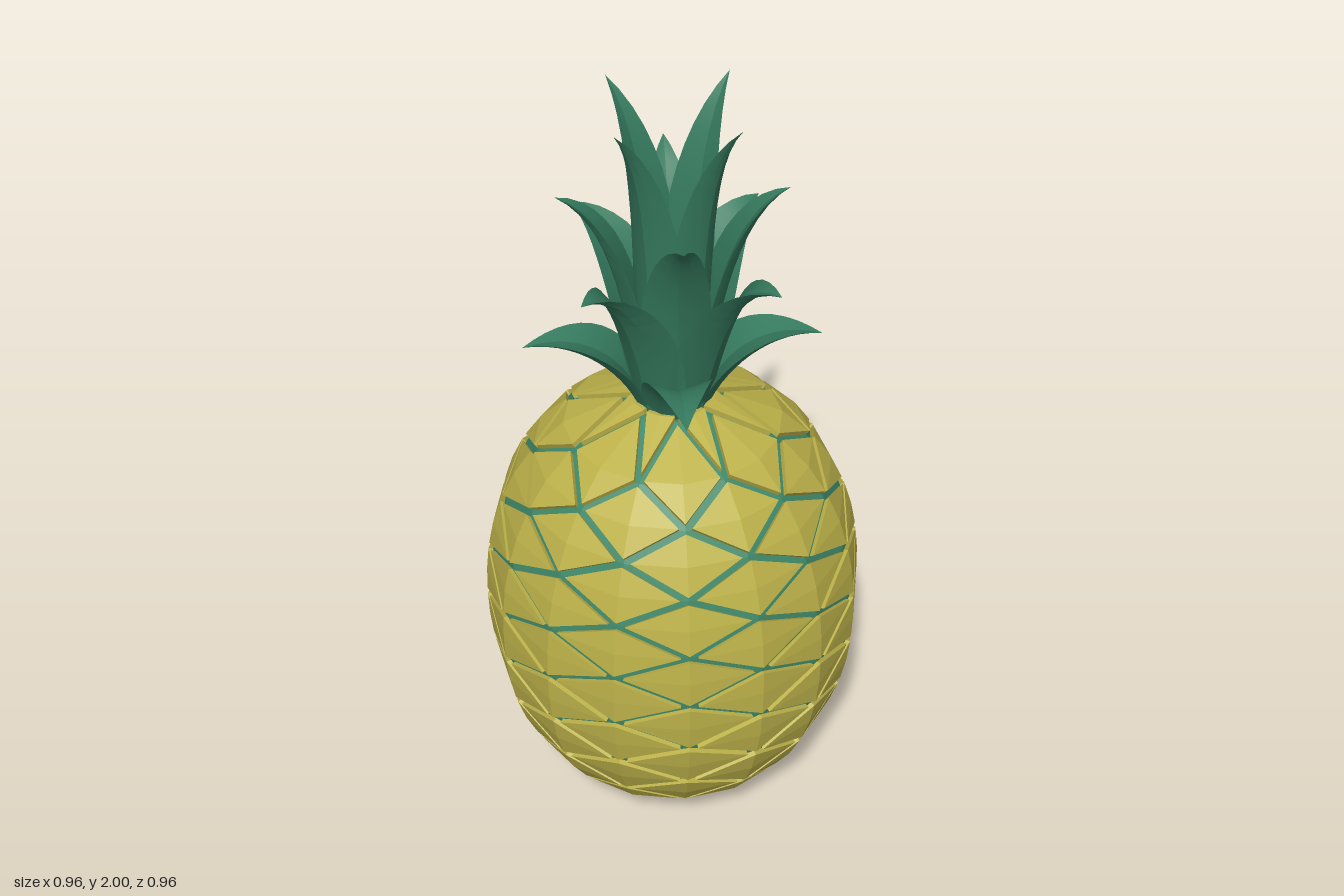
import * as THREE from 'three';
import { toCreasedNormals } from 'three/addons/utils/BufferGeometryUtils.js';

const STEP = 1.21 / 16;                       // half a row of the diamond lattice
const CENTRE = new THREE.Vector3(0, 0.605, 0);
const rind = new THREE.MeshStandardMaterial({ color: 0xbdb24a, flatShading: true });
const groove = new THREE.MeshStandardMaterial({ color: 0x3f8768, flatShading: true });
const leafGreen = new THREE.MeshStandardMaterial({ color: 0x357a5e, side: THREE.DoubleSide });

// Lattice point: level 0..16 up the fruit (-1 and 17 are the dimpled poles), column of 16
function lattice(level, column) {
  if (level < 0) return new THREE.Vector3(0, 0.02, 0);
  if (level > 16) return new THREE.Vector3(0, 1.2, 0);
  const y = level * STEP;
  const t = Math.abs(y - CENTRE.y) / 0.615;
  const r = 0.48 * Math.pow(1 - Math.pow(t, 2.2), 1 / 2.2);
  const a = column * Math.PI / 8;
  return new THREE.Vector3(r * Math.sin(a), y, r * Math.cos(a));
}

const towardsCentre = (p, k) => p.clone().sub(CENTRE).multiplyScalar(k).add(CENTRE);

function triangles(points) {
  const geometry = new THREE.BufferGeometry().setFromPoints(points);
  geometry.computeVertexNormals();
  return geometry;
}

// All diamonds of the fruit, each shrunk about its middle, with optional side walls
function diamonds(shrink, scale, wallScale) {
  const out = [];
  for (let level = 0; level <= 16; level++) {
    for (let i = 0; i < 8; i++) {
      const c = 2 * i + (level % 2 === 0 ? 1 : 0);
      const mid = towardsCentre(lattice(level, c), scale);
      const rim = [[-1, 0], [0, 1], [1, 0], [0, -1]].map(([dl, dc]) =>
        mid.clone().lerp(towardsCentre(lattice(level + dl, c + dc), scale), shrink));
      rim.forEach((p, k) => {
        const q = rim[(k + 1) % 4];
        out.push(mid, p, q);
        if (wallScale) {
          const pi = towardsCentre(p, wallScale), qi = towardsCentre(q, wallScale);
          out.push(p, pi, qi, p, qi, q);
        }
      });
    }
  }
  return triangles(out);
}

// Curved, channelled leaf: a lens section swept along a curve in the x-y plane
function leafGeometry(path, halfWidth) {
  const curve = new THREE.CubicBezierCurve(...path.map(p => new THREE.Vector2(...p)));
  const N = 14, rings = [], out = [];
  for (let i = 0; i <= N; i++) {
    const t = i / N, p = curve.getPoint(t), d = curve.getTangent(t);
    const w = i === N ? 0 : halfWidth * Math.sin(Math.PI * (0.25 + 0.75 * t));
    const at = (n, z) => new THREE.Vector3(p.x - d.y * n, p.y + d.x * n, z);
    const thick = 0.12 * w;
    rings.push([
      at(0.4 * w, w), at(0.12 * w + thick, 0.5 * w), at(thick, 0),
      at(0.12 * w + thick, -0.5 * w), at(0.4 * w, -w),
      at(0.12 * w - thick, -0.5 * w), at(-thick, 0), at(0.12 * w - thick, 0.5 * w),
    ]);
  }
  for (let i = 0; i < N; i++) {
    for (let k = 0; k < 8; k++) {
      const a = rings[i][k], b = rings[i][(k + 1) % 8];
      const c = rings[i + 1][(k + 1) % 8], d = rings[i + 1][k];
      out.push(a, b, c);
      if (i < N - 1) out.push(a, c, d);
    }
  }
  return toCreasedNormals(triangles(out), 0.45);
}

export function createModel() {
  const model = new THREE.Group();
  model.name = 'pineapple';

  // Fruit: green core seen in the grooves between yellow diamond plates
  const core = new THREE.Mesh(diamonds(1, 0.975), groove);
  core.name = 'fruitCore';
  const plates = new THREE.Mesh(diamonds(0.88, 1, 0.965), rind);
  plates.name = 'rindPlates';
  model.add(core, plates);

  // Crown: four layers of four leaves, alternating diagonal and axial
  const crown = new THREE.Group();
  crown.name = 'crown';
  const layers = [
    { path: [[0.08, 1.18], [0.12, 1.31], [0.22, 1.4], [0.36, 1.36]], width: 0.085, turn: 0.5 },
    { path: [[0.08, 1.18], [0.11, 1.38], [0.18, 1.62], [0.32, 1.62]], width: 0.1, turn: 0 },
    { path: [[0.075, 1.18], [0.09, 1.4], [0.13, 1.71], [0.27, 1.77]], width: 0.085, turn: 0.5 },
    { path: [[0.07, 1.18], [0.08, 1.5], [0.07, 1.85], [0.2, 2]], width: 0.08, turn: 0 },
  ];
  layers.forEach(({ path, width, turn }, n) => {
    const geometry = leafGeometry(path, width);
    for (let i = 0; i < 4; i++) {
      const leaf = new THREE.Mesh(geometry, leafGreen);
      leaf.name = `leafLayer${n + 1}`;
      leaf.rotation.y = (i + turn) * Math.PI / 2;
      crown.add(leaf);
    }
  });
  model.add(crown);
  return model;
}
